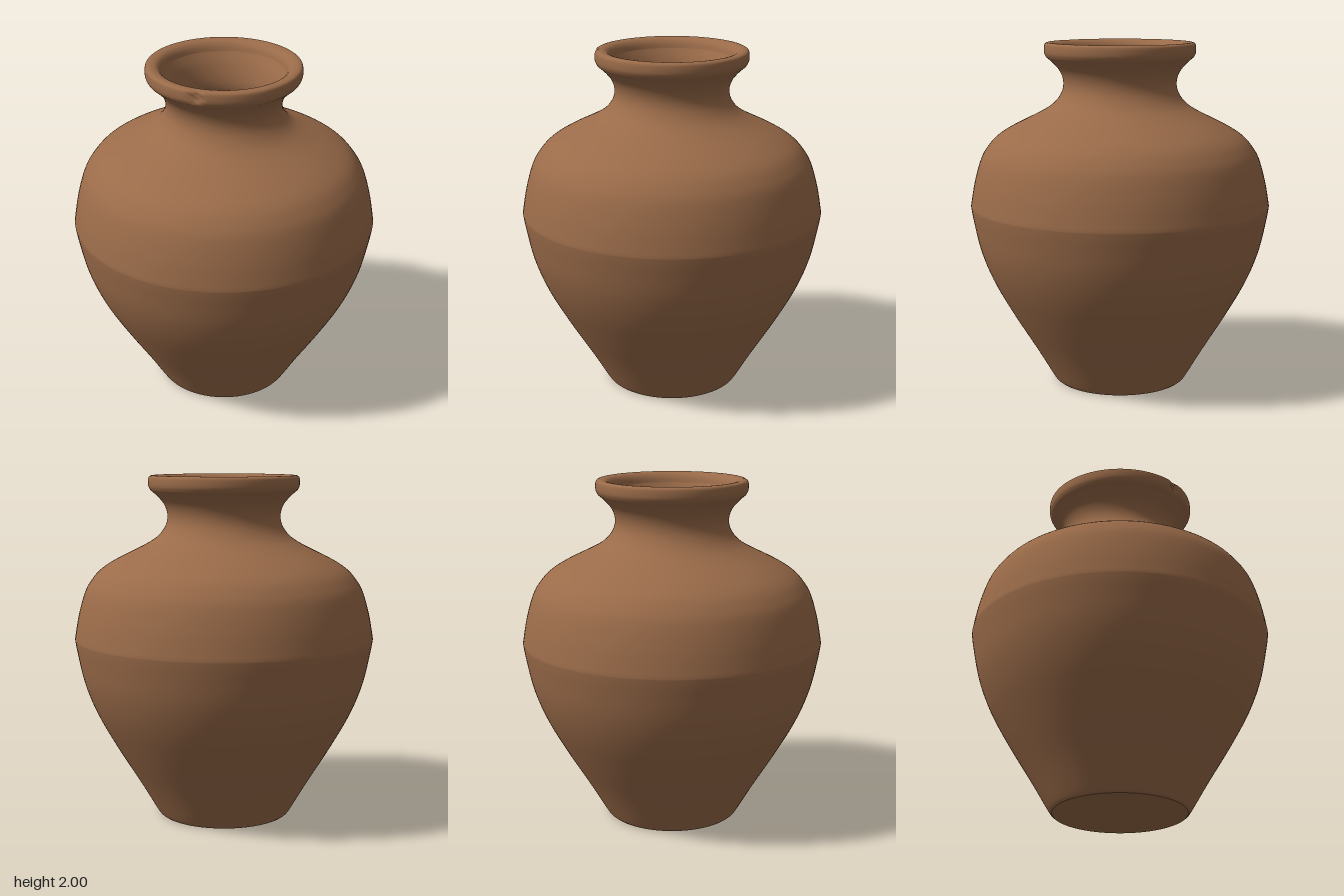
import * as THREE from 'three';
import { mergeVertices } from 'three/addons/utils/BufferGeometryUtils.js';

const clay = new THREE.MeshStandardMaterial({ color: 0x9a6b49 });
clay.name = 'clay brown';
const SEGMENTS = 128;

// Smooth curve through [radius, height] pairs
function curve(pairs, count) {
  const points = pairs.map(([r, y]) => new THREE.Vector2(r, y));
  return new THREE.SplineCurve(points).getPoints(count);
}

// Revolve a profile and weld its seam, so the normals stay smooth all round
function revolve(name, points, deform) {
  let geo = new THREE.LatheGeometry(points, SEGMENTS);
  geo.deleteAttribute('uv');
  geo.deleteAttribute('normal');
  geo = mergeVertices(geo, 1e-5);
  if (deform) deform(geo.attributes.position);
  geo.computeVertexNormals();
  const mesh = new THREE.Mesh(geo, clay);
  mesh.name = name;
  return mesh;
}

// Small jagged chip knocked out of the front of the lip
function chipRim(position) {
  const centre = new THREE.Vector3(-0.375, 1.965, 0.222);
  const v = new THREE.Vector3();
  for (let i = 0; i < position.count; i++) {
    v.fromBufferAttribute(position, i);
    const d = v.distanceTo(centre);
    if (d > 0.05) continue;
    const rough = 0.65 + 0.35 * Math.sin(v.x * 310 + v.y * 170);
    const depth = (1 - d / 0.05) * 0.035 * rough;
    const k = 1 - depth / Math.hypot(v.x, v.z);
    position.setXYZ(i, v.x * k, v.y - depth * 0.5, v.z * k);
  }
}

export function createModel() {
  const group = new THREE.Group();
  group.name = 'clayJar';

  // Lower body, up to the faint ridge at the widest point
  const lower = curve([
    [0.385, 0.005], [0.405, 0.03], [0.505, 0.2], [0.64, 0.42], [0.75, 0.62],
    [0.82, 0.8], [0.86, 0.98], [0.873, 1.06],
  ], 36);
  // Shoulder and neck
  const upper = curve([
    [0.873, 1.06], [0.848, 1.2], [0.81, 1.33], [0.77, 1.4], [0.715, 1.46],
    [0.62, 1.52], [0.46, 1.6], [0.385, 1.65], [0.34, 1.71], [0.328, 1.77],
    [0.345, 1.83], [0.385, 1.88], [0.425, 1.915],
  ], 60);
  group.add(revolve('body', [...lower, ...upper.slice(1)]));

  // Rolled lip
  const lip = curve([
    [0.425, 1.915], [0.437, 1.94], [0.437, 1.98], [0.428, 1.996], [0.405, 2],
    [0.375, 1.992], [0.355, 1.97], [0.345, 1.94],
  ], 28);
  group.add(revolve('rim', lip, chipRim));

  // Hollow inside
  const inside = curve([
    [0.345, 1.94], [0.31, 1.87], [0.286, 1.77], [0.3, 1.69], [0.36, 1.61],
    [0.58, 1.49], [0.72, 1.38], [0.8, 1.2], [0.825, 1.06], [0.78, 0.8],
    [0.6, 0.43], [0.46, 0.2], [0.37, 0.06],
  ], 60);
  group.add(revolve('innerWall', inside));

  // Floor and underside
  const floor = new THREE.Mesh(new THREE.CircleGeometry(0.37, SEGMENTS), clay);
  floor.name = 'innerFloor';
  floor.rotation.x = -Math.PI / 2;
  floor.position.y = 0.06;
  group.add(floor);

  const base = new THREE.Mesh(new THREE.CylinderGeometry(0.385, 0.38, 0.005, SEGMENTS), clay);
  base.name = 'base';
  base.position.y = 0.0025;
  group.add(base);

  return group;
}
